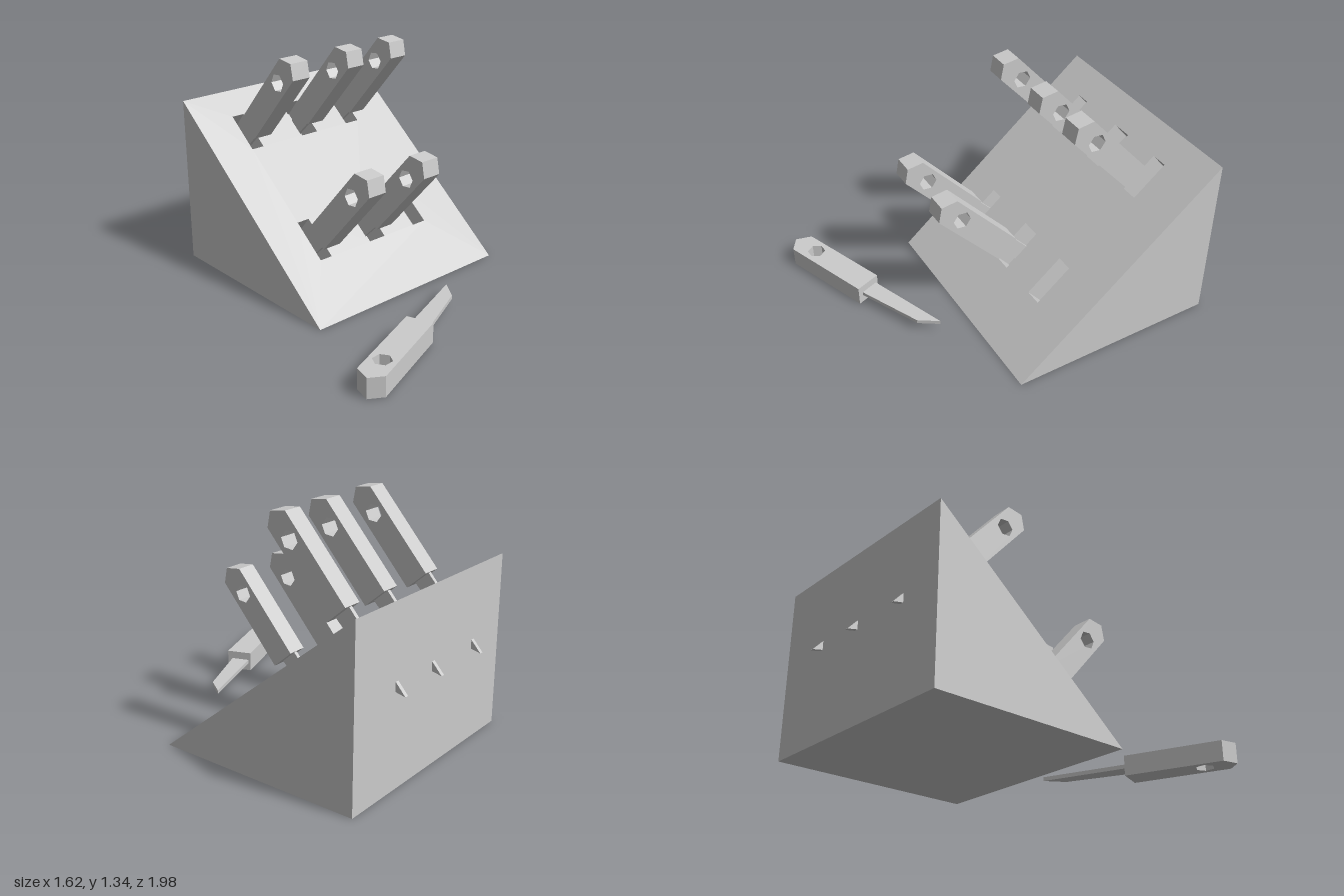
import * as THREE from 'three';

const grey = new THREE.MeshStandardMaterial({ color: 0xcccccc, flatShading: true });
const inside = new THREE.MeshStandardMaterial({ color: 0xcccccc, flatShading: true, side: THREE.BackSide });

// Block: a wedge with its slope facing forward
const X0 = -0.56, X1 = 0.805, FRONT = 0.3, BACK = -0.93, HEIGHT = 1;
const SLOPE = Math.hypot(FRONT - BACK, HEIGHT);
const SLOT_DEPTH = 0.142;
const COLUMNS = [[-0.315, -0.235], [0.053, 0.177], [0.415, 0.512]];
const ROWS = [[0.365, 0.626], [1.157, 1.403]]; // distances up the slope

function mesh(name, geometry, material = grey) {
  const m = new THREE.Mesh(geometry, material);
  m.name = name;
  return m;
}

function outline(points) {
  return new THREE.Shape(points.map(([x, y]) => new THREE.Vector2(x, y)));
}

// Centred slab from a profile
function slab(shape, thickness) {
  return new THREE.ExtrudeGeometry(shape, { depth: thickness, bevelEnabled: false })
    .translate(0, 0, -thickness / 2);
}

function createBlock() {
  const block = new THREE.Group();
  block.name = 'block';

  // Sides, base and back; the slope is added separately with its slots
  const a = [X0, 0, FRONT], b = [X0, 0, BACK], c = [X0, HEIGHT, BACK];
  const d = [X1, 0, FRONT], e = [X1, 0, BACK], f = [X1, HEIGHT, BACK];
  const faces = [a, c, b, d, e, f, a, b, e, a, e, d, b, c, f, b, f, e];
  const shell = new THREE.BufferGeometry();
  shell.setAttribute('position', new THREE.Float32BufferAttribute(faces.flat(), 3));
  shell.computeVertexNormals();
  block.add(mesh('blockSides', shell));

  // Slope frame: y runs up the slope, z points out of it
  const slope = new THREE.Group();
  slope.name = 'slope';
  slope.position.z = FRONT;
  slope.rotation.x = -Math.atan2(FRONT - BACK, HEIGHT);
  const face = outline([[X0, 0], [X1, 0], [X1, SLOPE], [X0, SLOPE]]);
  for (const [l, r] of COLUMNS) {
    for (const [lo, hi] of ROWS) {
      face.holes.push(outline([[l, lo], [l, hi], [r, hi], [r, lo]]));
      // Pocket: a box seen from within, without its open front
      const pocket = new THREE.BoxGeometry(r - l, hi - lo, SLOT_DEPTH);
      const index = Array.from(pocket.index.array);
      index.splice(24, 6);
      pocket.setIndex(index);
      pocket.clearGroups();
      pocket.translate((l + r) / 2, (lo + hi) / 2, -SLOT_DEPTH / 2);
      slope.add(mesh('slot', pocket, inside));
    }
  }
  slope.add(mesh('slopeFace', new THREE.ShapeGeometry(face)));
  block.add(slope);
  return block;
}

// Knife: x runs from handle to tip, y from spine to edge
const handleShape = outline([[0, 0], [0, 0.154], [-0.562, 0.154], [-0.619, 0.08], [-0.565, 0]]);
const hole = [];
for (let i = 0; i < 6; i++) {
  const t = (i / 6) * Math.PI * 2 + 0.3;
  hole.push([-0.44 + 0.053 * Math.cos(t), 0.075 + 0.053 * Math.sin(t)]);
}
handleShape.holes.push(outline(hole));
const handleGeometry = slab(handleShape, 0.117);
const bladeGeometry = slab(
  outline([[-0.02, 0.015], [0.512, 0.014], [0.403, 0.093], [-0.02, 0.125]]), 0.023);

function createKnife(name, origin, along, across) {
  const knife = new THREE.Group();
  knife.name = name;
  knife.add(mesh('handle', handleGeometry), mesh('blade', bladeGeometry));
  const u = new THREE.Vector3(...along).normalize();
  const v = new THREE.Vector3(...across).normalize();
  const w = new THREE.Vector3().crossVectors(u, v);
  knife.quaternion.setFromRotationMatrix(new THREE.Matrix4().makeBasis(u, v, w));
  knife.position.set(...origin);
  return knife;
}

export function createModel() {
  const model = new THREE.Group();
  model.name = 'knifeBlock';
  model.add(createBlock());

  // Stored knives: three in the upper row, two in the lower
  const rows = [
    { y: 0.915, z: -0.66, xs: [-0.275, 0.121, 0.453] },
    { y: 0.425, z: -0.045, xs: [-0.279, 0.121] },
  ];
  for (const { y, z, xs } of rows) {
    for (const x of xs) {
      model.add(createKnife('storedKnife', [x, y, z], [0, -0.75, -0.66], [0, -0.66, 0.75]));
    }
  }

  // Loose knife lying in front of the block
  model.add(createKnife('looseKnife', [-0.26, 0.0605, 0.65], [0.936, 0, -0.353], [0.353, 0, 0.936]));
  return model;
}
